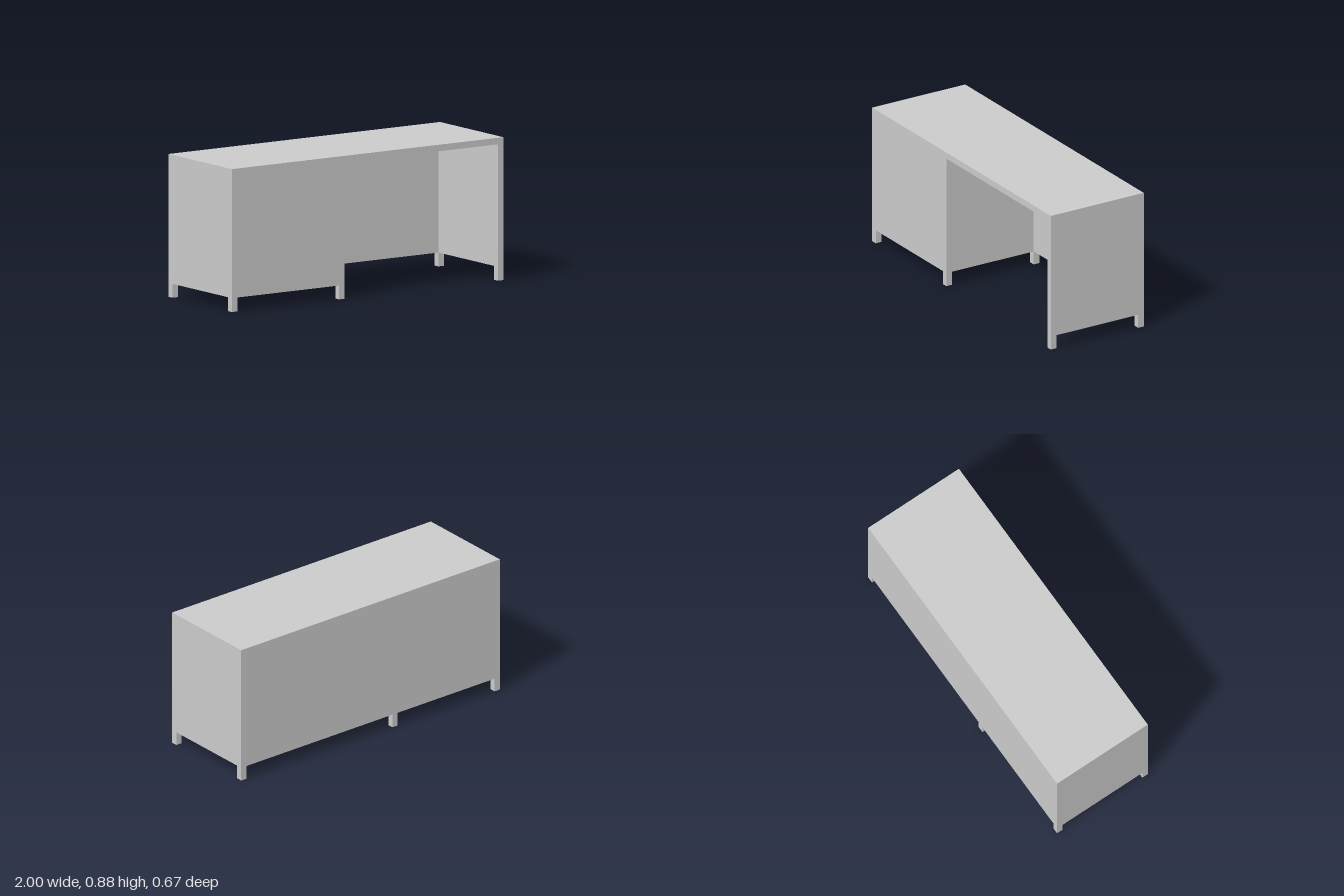
import * as THREE from 'three';

// Overall sizes
const W = 1, D = 0.333, H = 0.875;   // half width, half depth, height
const T = 0.04;                      // board and leg thickness
const LIFT = 0.085;                  // clearance under the panels
const UNDER = H - T;                 // underside of the top
const CAB = -0.17;                   // inner side of the cabinet

export function createModel() {
  const desk = new THREE.Group();
  desk.name = 'desk';
  const material = new THREE.MeshStandardMaterial({ color: 0xcccccc, flatShading: true });

  // Box spanning two opposite corners
  function box(name, x0, x1, y0, y1, z0, z1) {
    const mesh = new THREE.Mesh(new THREE.BoxGeometry(x1 - x0, y1 - y0, z1 - z0), material);
    mesh.position.set((x0 + x1) / 2, (y0 + y1) / 2, (z0 + z1) / 2);
    mesh.name = name;
    desk.add(mesh);
  }

  box('desktop', -W, W, UNDER, H, -D, D);
  box('cabinet', -W, CAB, LIFT, UNDER, -D, D);
  box('sidePanel', W - T, W, LIFT, UNDER, -D, D);
  box('backPanel', CAB, W - T, LIFT, UNDER, -D, -D + T);

  // Square legs in three pairs, front and back
  for (const x of [-W, CAB - T, W - T]) {
    box('frontLeg', x, x + T, 0, LIFT, D - T, D);
    box('backLeg', x, x + T, 0, LIFT, -D, -D + T);
  }
  return desk;
}
